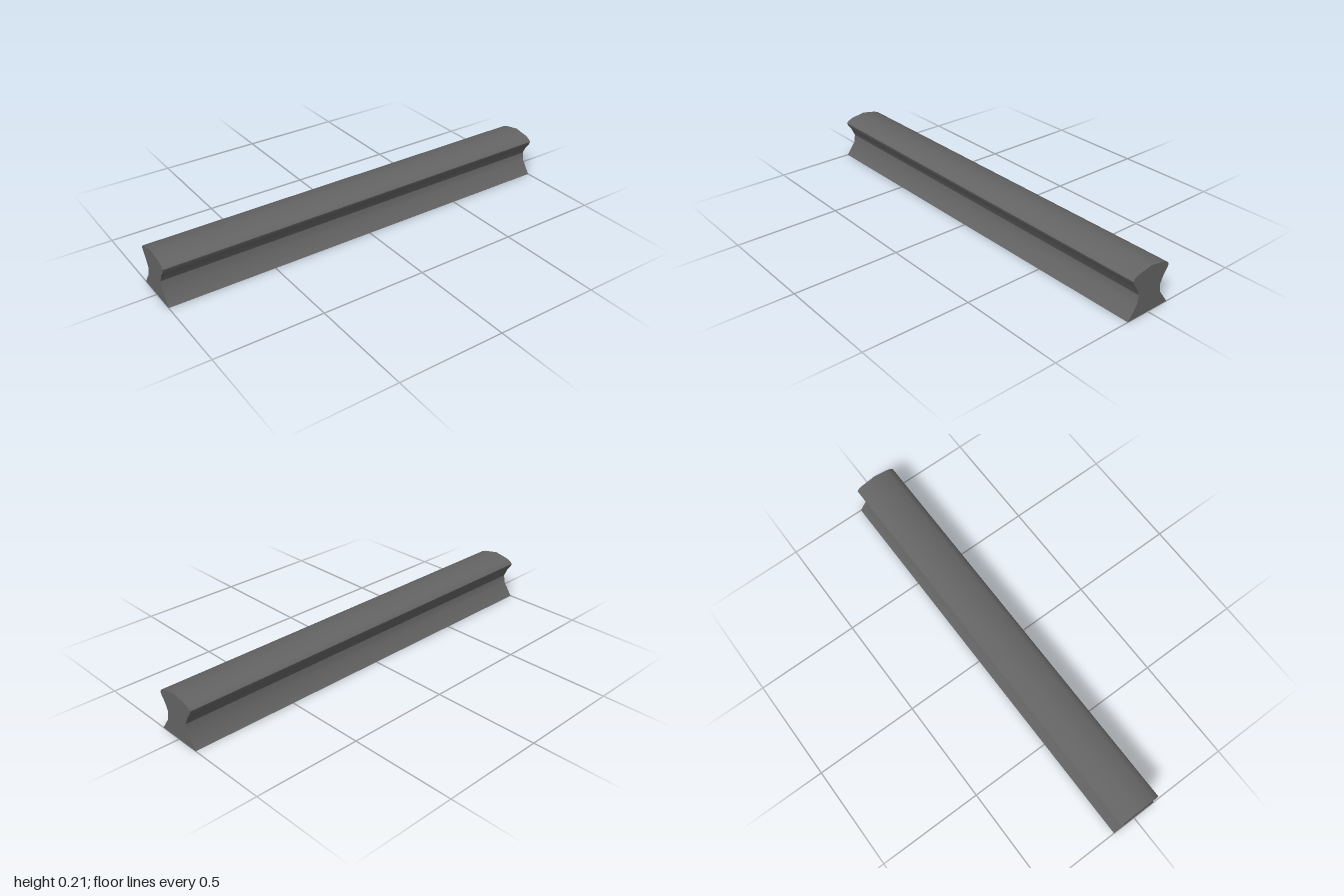
import * as THREE from 'three';
import { toCreasedNormals } from 'three/addons/utils/BufferGeometryUtils.js';

export function createModel() {
  const group = new THREE.Group();
  group.name = 'rail';

  // Half of the cross-section, from the foot up to the crown: [half width, height]
  const half = [
    [0.114, 0], [0.068, 0.063], [0.061, 0.102], [0.078, 0.139], [0.098, 0.166],
    [0.103, 0.18], [0.094, 0.191], [0.071, 0.201],
  ];
  const crown = [0, 0.214];
  const mirrored = half.map(([x, y]) => [-x, y]).reverse();
  const outline = [...half, crown, ...mirrored].map(([x, y]) => new THREE.Vector2(x, y));

  // Straight bar, swept along x
  const length = 2;
  const bar = new THREE.ExtrudeGeometry(new THREE.Shape(outline), { depth: length, bevelEnabled: false });
  bar.translate(0, 0, -length / 2).rotateY(Math.PI / 2);

  // Smooth crown and foot, sharp waist and lip edges
  const mesh = new THREE.Mesh(
    toCreasedNormals(bar, THREE.MathUtils.degToRad(30)),
    new THREE.MeshStandardMaterial({ color: 0x646464 }),
  );
  mesh.name = 'railBar';
  group.add(mesh);
  return group;
}
